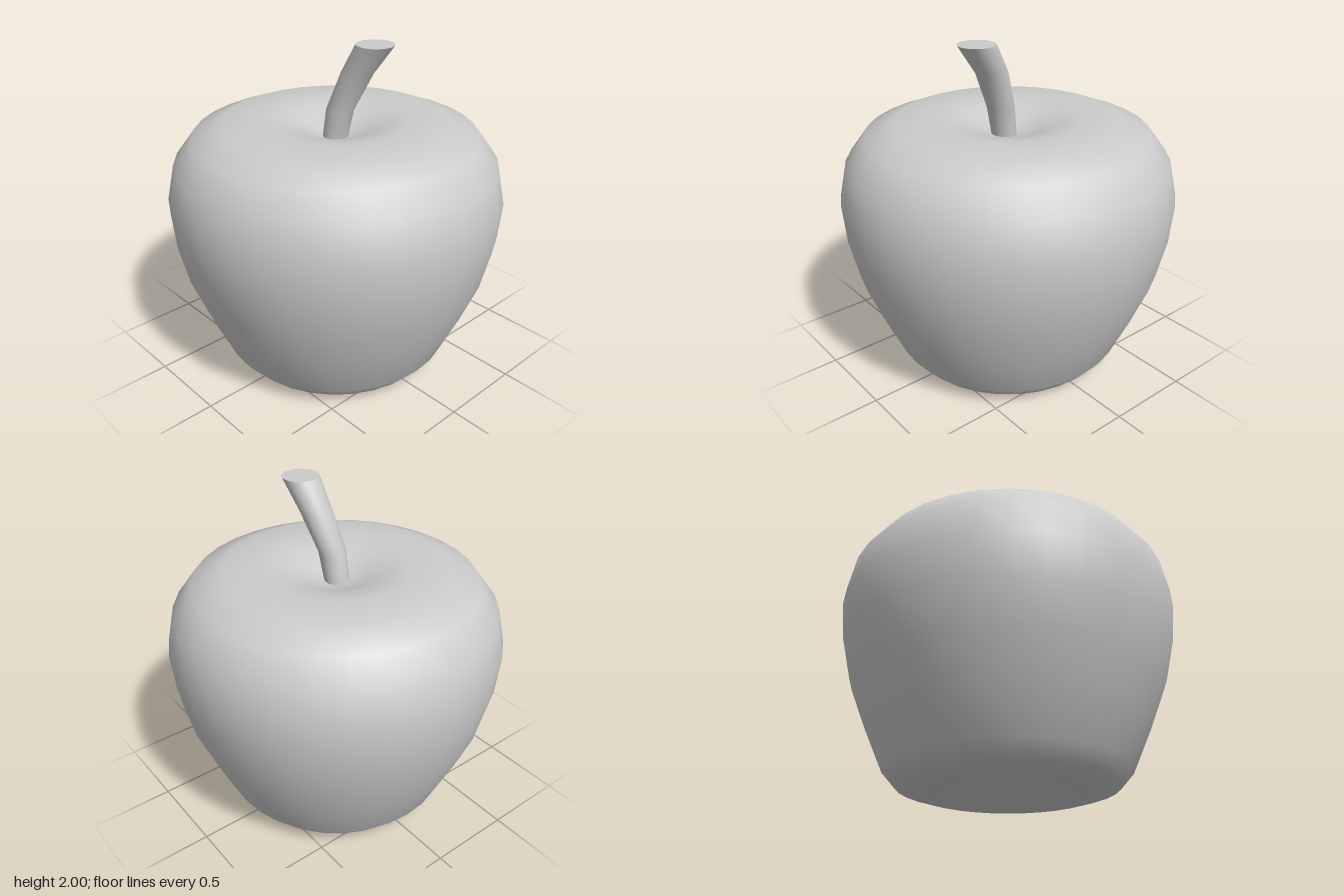
import * as THREE from 'three';
import { mergeVertices } from 'three/addons/utils/BufferGeometryUtils.js';

// Profile of the fruit, [radius, height], from the base hollow up to the stem hollow
const PROFILE = [
  [0, 0.12], [0.08, 0.112], [0.17, 0.08], [0.26, 0.035], [0.34, 0.008], [0.42, 0], [0.53, 0.01],
  [0.63, 0.04], [0.705, 0.125], [0.815, 0.37], [0.915, 0.62], [0.97, 0.86], [0.99, 1.09],
  [0.945, 1.3], [0.83, 1.455], [0.66, 1.522], [0.43, 1.535], [0.3, 1.512], [0.2, 1.475],
  [0.1, 1.437], [0, 1.42],
];

// Level rings of the stem, from bottom to top: centre x, y, z and radius
const STEM = [
  [0.01, 1.4, 0.02, 0.072],
  [0.045, 1.6, 0.01, 0.08],
  [0.14, 1.825, -0.03, 0.092],
  [0.255, 2, -0.05, 0.107],
];

function createStemGeometry() {
  const rows = STEM.length - 1;
  let geometry = new THREE.CylinderGeometry(1, 1, rows, 32, rows);
  const pos = geometry.attributes.position;
  // Move each ring of the cylinder to its place along the bend
  for (let i = 0; i < pos.count; i++) {
    const [x, y, z, r] = STEM[Math.round(pos.getY(i) + rows / 2)];
    pos.setXYZ(i, x + pos.getX(i) * r, y, z + pos.getZ(i) * r);
  }
  // Close the seam; the caps stay separate and so keep a sharp rim
  geometry.deleteAttribute('uv');
  geometry = mergeVertices(geometry);
  geometry.computeVertexNormals();
  return geometry;
}

export function createModel() {
  const model = new THREE.Group();
  model.name = 'apple';
  const material = new THREE.MeshStandardMaterial({ color: 0xcccccc });

  // Round body
  const points = PROFILE.map(([r, y]) => new THREE.Vector2(r, y));
  const fruit = new THREE.Mesh(new THREE.LatheGeometry(points, 32), material);
  fruit.name = 'fruit';

  // Bent stem, widening to a flat top
  const stem = new THREE.Mesh(createStemGeometry(), material);
  stem.name = 'stem';

  model.add(fruit, stem);
  return model;
}
